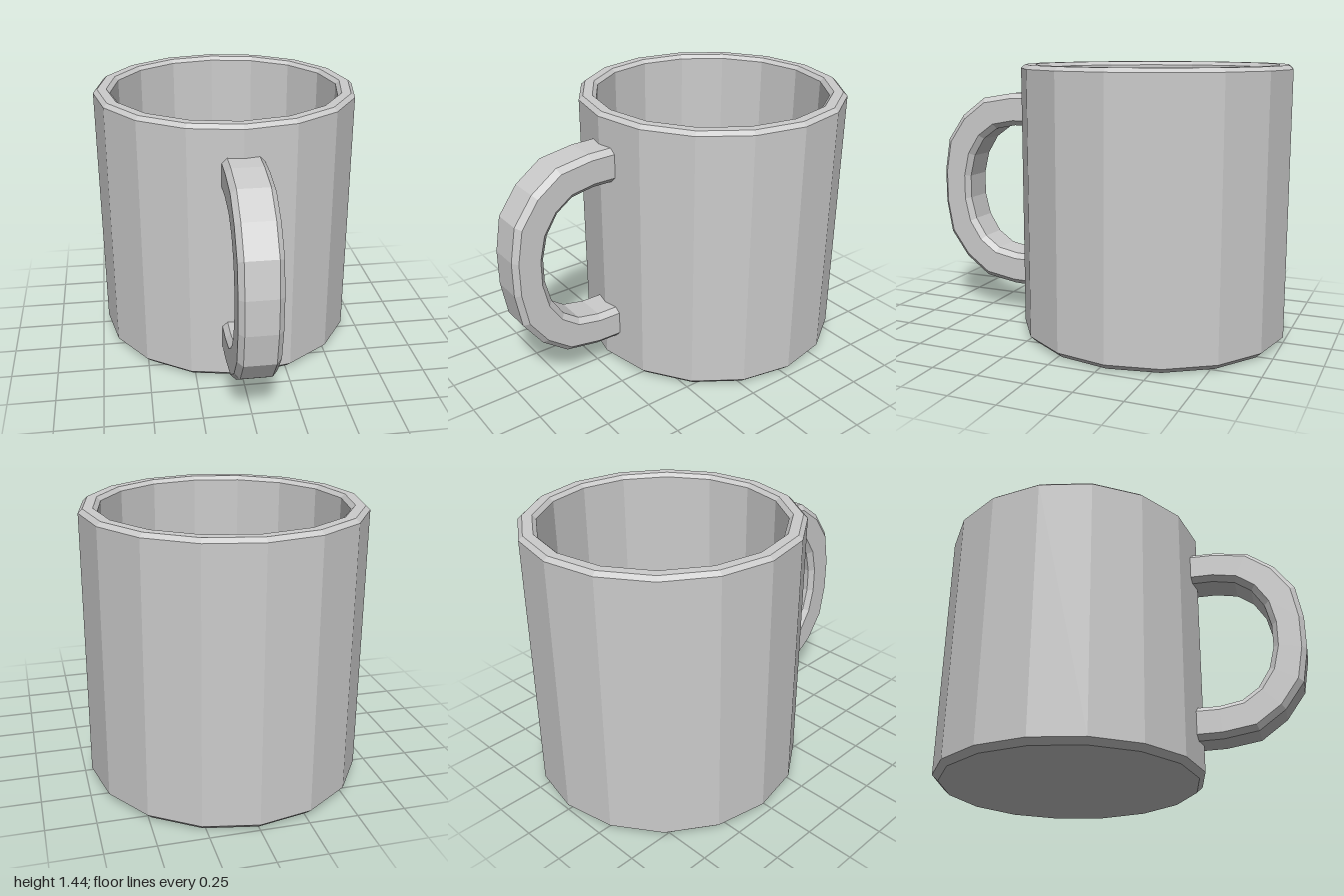
import * as THREE from 'three';

const material = new THREE.MeshStandardMaterial({ color: 0xcccccc, flatShading: true });

// Sixteen-sided cup: bevelled foot, bevelled rim, straight inner wall and floor
function createCup() {
  const profile = [
    [0, 0], [0.685, 0], [0.717, 0.03], [0.717, 1.42], [0.695, 1.44],
    [0.645, 1.44], [0.625, 1.42], [0.625, 0.08], [0, 0.08],
  ].map(([r, y]) => new THREE.Vector2(r, y));
  const cup = new THREE.Mesh(new THREE.LatheGeometry(profile, 16), material);
  cup.name = 'cup';
  cup.position.z = -0.283;
  return cup;
}

// C-shaped handle: a bevelled rectangular section swept between two outlines
function createHandle() {
  const midY = 0.7225;
  // Upper half of the handle as [z, y], from the wall to the widest point
  const outer = [[0.39, 1.275], [0.545, 1.272], [0.727, 1.242], [0.866, 1.14], [0.968, 0.998], [1, 0.815]];
  const inner = [[0.39, 1.093], [0.53, 1.093], [0.65, 1.07], [0.737, 1.008], [0.8, 0.908], [0.83, 0.787]];
  const mirror = (pts) => [...pts, ...pts.map(([z, y]) => [z, 2 * midY - y]).reverse()];
  const outerPath = mirror(outer);
  const innerPath = mirror(inner);

  // Section as [x, share of the way from inner to outer outline]
  const w = 0.107, f = 0.08, b = 0.155;
  const section = [[f, 0], [w, b], [w, 1 - b], [f, 1], [-f, 1], [-w, 1 - b], [-w, b], [-f, 0]];
  const n = section.length;

  const positions = [];
  outerPath.forEach(([zo, yo], i) => {
    const [zi, yi] = innerPath[i];
    for (const [x, s] of section) positions.push(x, yi + (yo - yi) * s, zi + (zo - zi) * s);
  });

  const index = [];
  const last = (outerPath.length - 1) * n;
  for (let base = 0; base < last; base += n) {
    for (let j = 0; j < n; j++) {
      const a = base + j, c = base + (j + 1) % n;
      index.push(a, c, a + n, c, c + n, a + n);
    }
  }
  // End caps
  for (let j = 1; j < n - 1; j++) {
    index.push(0, j + 1, j, last, last + j, last + j + 1);
  }

  const geometry = new THREE.BufferGeometry();
  geometry.setAttribute('position', new THREE.Float32BufferAttribute(positions, 3));
  geometry.setIndex(index);
  geometry.computeVertexNormals();
  const handle = new THREE.Mesh(geometry, material);
  handle.name = 'handle';
  return handle;
}

export function createModel() {
  const mug = new THREE.Group();
  mug.name = 'mug';
  mug.add(createCup(), createHandle());
  return mug;
}
